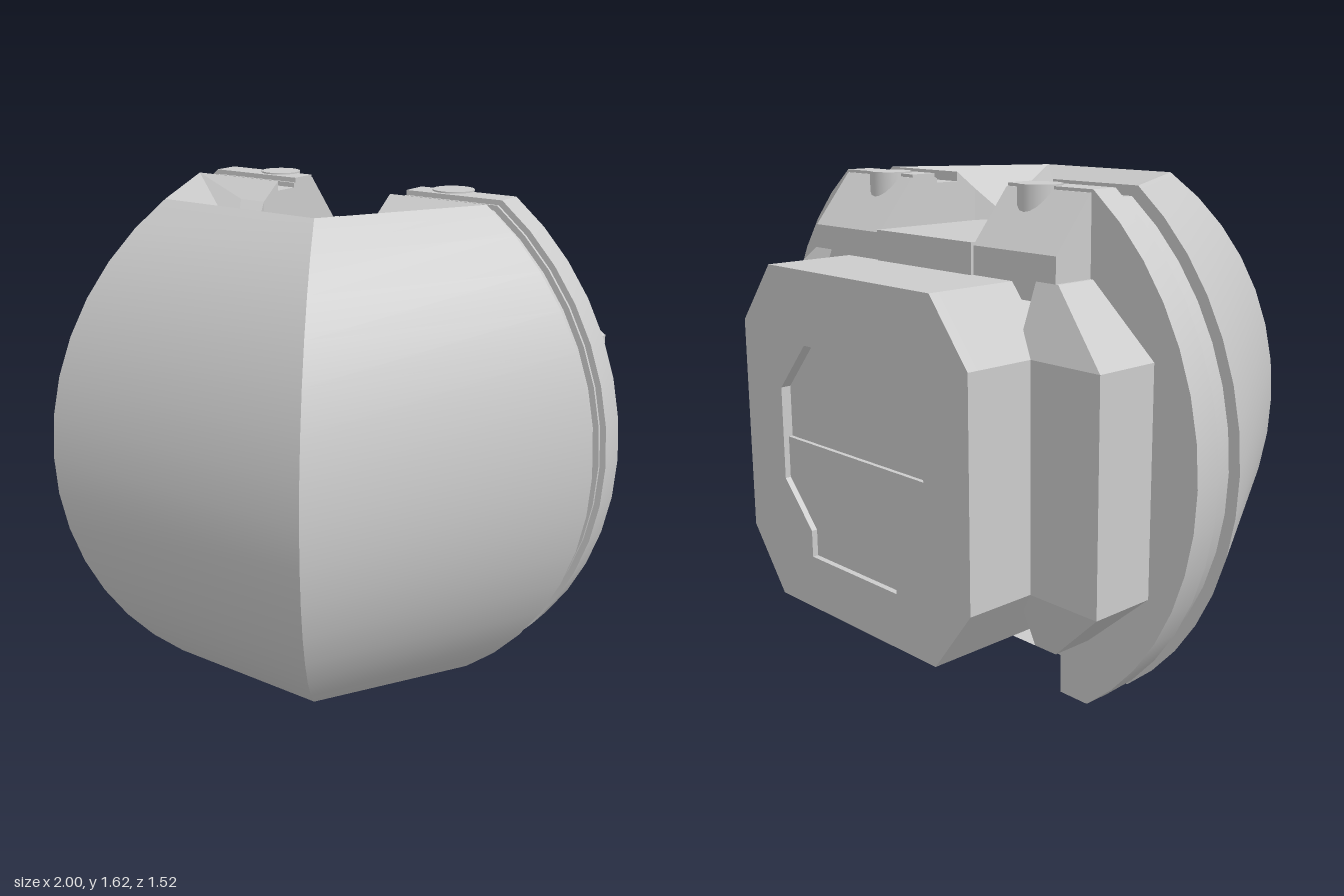
import * as THREE from 'three';
import { toCreasedNormals } from 'three/addons/utils/BufferGeometryUtils.js';

const CY = 0.81;          // height of the round outline's centre
const TOP = 1.62, FLOOR = 1.45, BACK = -0.1;
const ARC = Math.asin(CY), STEPS = 14;
const material = new THREE.MeshStandardMaterial({ color: 0xcccccc, side: THREE.DoubleSide });

export function createModel() {
  const model = new THREE.Group();

  const add = (name, geometry, parent = model) => {
    const mesh = new THREE.Mesh(geometry, material);
    mesh.name = name;
    parent.add(mesh);
    return mesh;
  };

  // Flat faces from lists of corners, optionally repeated on the other side of x = 0
  const faces = (list, mirrored = false) => {
    const pos = [];
    for (const f of list) {
      for (let i = 1; i < f.length - 1; i++) {
        const tri = [f[0], f[i], f[i + 1]];
        pos.push(...tri.flat());
        if (mirrored) {
          for (const p of [tri[0], tri[2], tri[1]]) pos.push(-p[0], p[1], p[2]);
        }
      }
    }
    const g = new THREE.BufferGeometry();
    g.setAttribute('position', new THREE.Float32BufferAttribute(pos, 3));
    g.computeVertexNormals();
    return g;
  };

  const shapeOf = pts => new THREE.Shape(pts.map(p => new THREE.Vector2(p[0], p[1])));
  const extrude = (shape, z0, z1) => {
    const g = new THREE.ExtrudeGeometry(shape, { depth: z1 - z0, bevelEnabled: false });
    g.translate(0, 0, z0);
    return toCreasedNormals(g, 0.4);
  };

  // Truncated disc with the top channel and an optional bottom notch
  const disc = (k, notch) => {
    const half = [];
    if (notch) half.push([0.47, 0.22], [0.47, CY - CY * k]);
    for (let i = 0; i <= STEPS; i++) {
      const t = -ARC + (2 * ARC * i) / STEPS;
      half.push([Math.cos(t) * k, CY + Math.sin(t) * k]);
    }
    half.push([0.23, CY + CY * k], [0.23, FLOOR]);
    return shapeOf([...half, ...half.map(p => [-p[0], p[1]]).reverse()]);
  };

  // Domed front shell: half a hexagon whose size follows the round outline
  const shell = new THREE.Group();
  shell.name = 'frontShell';
  model.add(shell);
  const plan = [[1, 0], [0.5, 0.86], [-0.5, 0.86], [-1, 0]];
  ['leftPanel', 'frontPanel', 'rightPanel'].forEach((name, n) => {
    const pos = [], index = [];
    for (let i = 0; i <= STEPS; i++) {
      const t = -ARC + (2 * ARC * i) / STEPS, s = Math.cos(t);
      for (const p of [plan[n], plan[n + 1]]) pos.push(p[0] * s, CY + Math.sin(t), BACK + p[1] * s);
      if (i) {
        const a = 2 * i - 2;
        index.push(a + 1, a, a + 2, a + 1, a + 2, a + 3);
      }
    }
    const g = new THREE.BufferGeometry();
    g.setAttribute('position', new THREE.Float32BufferAttribute(pos, 3));
    g.setIndex(index);
    g.computeVertexNormals();
    add(name, g, shell);
  });
  const S = Math.cos(ARC);
  add('shellBase', faces([plan.map(p => [p[0] * S, 0, BACK + p[1] * S]).reverse()]), shell);
  const back = new THREE.ShapeGeometry(disc(1, false));
  back.rotateY(Math.PI);
  back.translate(0, 0, BACK);
  add('shellBack', back, shell);

  // Sunken top: slopes falling from the shell's rim to the channel floor
  const A = [S, TOP, BACK], B = [S / 2, TOP, BACK + 0.86 * S];
  const C = [0.17, 1.565, 0.31], D = [0.18, FLOOR, 0.1], E = [0.23, FLOOR, -0.02];
  const F = [0.23, 1.56, -0.02], G = [0.33, 1.56, -0.02], H = [0.23, TOP, BACK];
  const K = [0.26, FLOOR, 0.1], L = [0.17, FLOOR, 0.31], M = [0.23, FLOOR, BACK];
  const flip = p => [-p[0], p[1], p[2]];
  add('topSlopes', faces([
    [B, K, D, C], [A, G, K, B], [G, F, D, K], [A, H, F, G],
    [H, M, E, F], [F, E, D], [C, D, L],
  ], true), shell);
  add('frontLip', faces([[B, C, flip(C), flip(B)], [C, L, flip(L), flip(C)]]), shell);

  // Channel floor running from the rear edge to the front pocket
  const half = [[0.23, 0.45], [0.23, 0.02], [0.18, -0.1], [0.17, -0.31]];
  const floor = extrude(shapeOf([...half, ...half.map(p => [-p[0], p[1]]).reverse()]), 1.3, FLOOR);
  floor.rotateX(-Math.PI / 2);
  add('channelFloor', floor);

  // Groove and flange behind the shell
  add('groove', extrude(disc(0.96, true), -0.2, BACK));
  add('flange', extrude(disc(1, true), -0.295, -0.2));
  add('flangeLip', extrude(disc(0.98, true), -0.215, -0.19));

  // Middle housing with folded-back corners
  const zf = -0.29, zr = -0.52, zc = -0.44;
  const housing = [
    [[0.83, 0.43, zr], [0.5, 0.43, zr], [0.5, 1.15, zr], [0.83, 1.15, zr]],
    [[0.83, 0.43, zf], [0.83, 0.43, zr], [0.83, 1.15, zr], [0.83, 1.15, zf]],
  ];
  for (const [y, e] of [[1.15, 1.36], [0.43, 0.22]]) {
    const list = [
      [[0.83, y, zr], [0.5, y, zr], [0.5, e, zc], [0.59, e, zc]],
      [[0.83, y, zf], [0.83, y, zr], [0.59, e, zc], [0.59, e, zf]],
      [[0.59, e, zf], [0.59, e, zc], [0, e, zc], [0, e, zf]],
    ];
    housing.push(...(y > 1 ? list : list.map(f => f.reverse())));
  }
  add('middleHousing', faces(housing, true));

  // Rear box with chamfered corners and a recessed panel
  const octagon = shapeOf([[0.56, 0.43], [0.56, 1.15], [0.4, 1.35], [-0.4, 1.35],
    [-0.56, 1.15], [-0.56, 0.43], [-0.4, 0.22], [0.4, 0.22]]);
  add('rearBox', extrude(octagon, -0.725, BACK - 0.01));
  const rim = octagon.clone();
  const side = [[0.22, 0.4], [0.22, 0.49], [0.36, 0.64], [0.36, 0.95], [0.22, 1.11]];
  rim.holes.push(shapeOf([...side, ...side.map(p => [-p[0], p[1]]).reverse()]));
  add('rearRim', extrude(rim, -0.76, -0.725));
  const low = [[0.22, 0.4], [0.22, 0.49], [0.36, 0.64], [0.36, 0.78]];
  add('rearPanel', extrude(shapeOf([...low, ...low.map(p => [-p[0], p[1]]).reverse()]), -0.74, -0.725));

  // Sloping blocks either side of the channel, each with a round pin
  const profile = shapeOf([[-0.28, 1.3], [-0.28, 1.61], [-0.3, 1.61], [-0.44, 1.44], [-0.44, 1.3]]);
  for (const [label, sign] of [['left', 1], ['right', -1]]) {
    const block = extrude(profile, 0, 0.35);
    block.rotateY(-Math.PI / 2);
    block.translate(sign > 0 ? 0.58 : -0.23, 0, 0);
    add(label + 'Block', block);
    const pin = new THREE.CylinderGeometry(0.07, 0.07, 0.125, 20);
    pin.translate(sign * 0.36, 1.5625, -0.285);
    add(label + 'Pin', pin);
  }
  return model;
}
